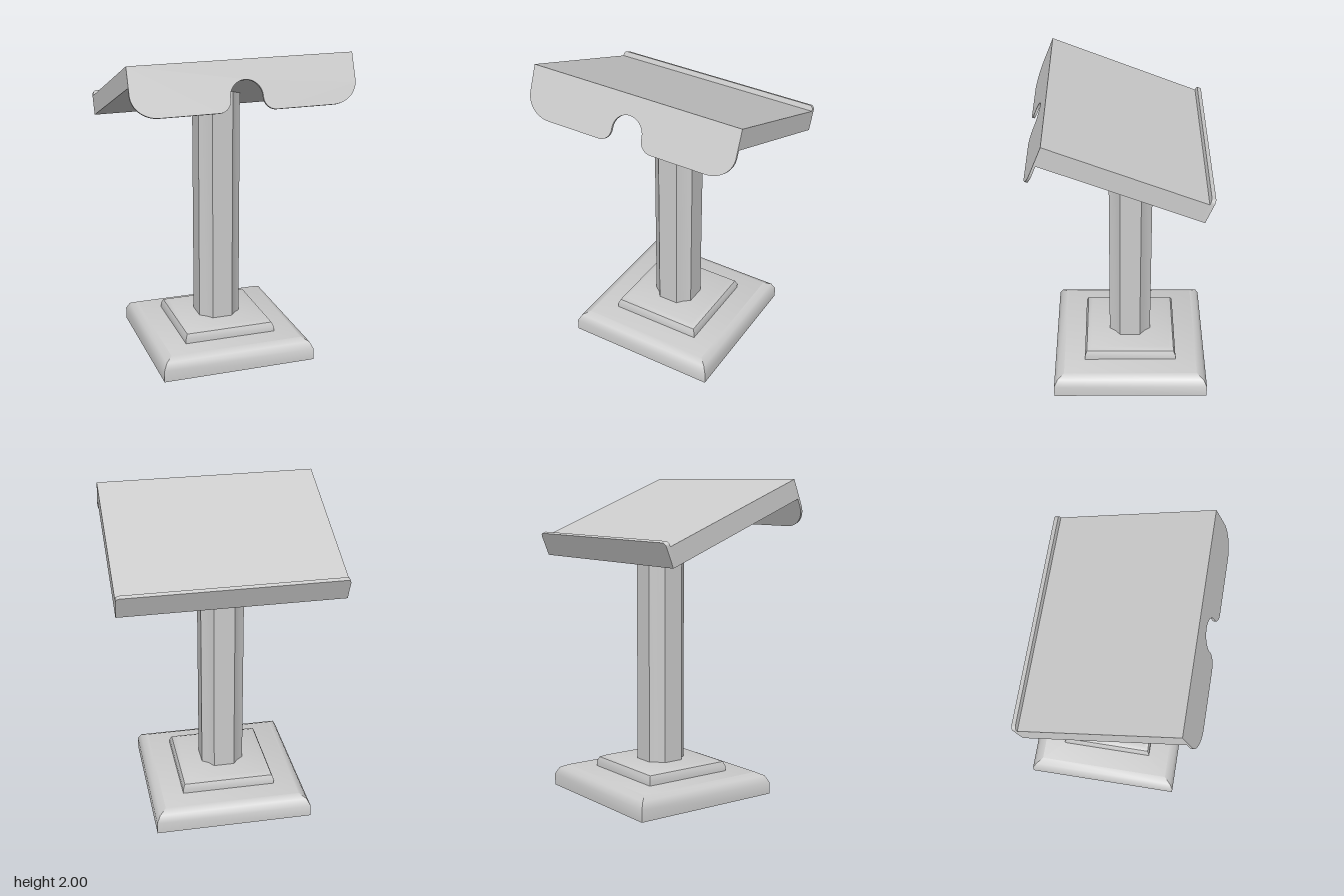
import * as THREE from 'three';
import { toCreasedNormals } from 'three/addons/utils/BufferGeometryUtils.js';

const material = new THREE.MeshStandardMaterial({ color: 0xcccccc });

function part(name, geometry, parent) {
  const mesh = new THREE.Mesh(geometry, material);
  mesh.name = name;
  parent.add(mesh);
  return mesh;
}

// Square slab whose upper edge follows a profile of [half width, height] points
function squareSlab(profile) {
  const top = profile[profile.length - 1][1];
  const points = [[0, profile[0][1]], ...profile, [0, top]]
    .map(([w, y]) => new THREE.Vector2(w * Math.SQRT2, y));
  const geometry = new THREE.LatheGeometry(points, 4).rotateY(Math.PI / 4);
  return toCreasedNormals(geometry.toNonIndexed(), 0.65);
}

// Square column outline with a shallow groove down each corner
function columnShape() {
  const flat = 0.066, out = 0.136, groove = 0.096;
  const points = [];
  for (let i = 0; i < 4; i++) {
    const c = Math.round(Math.cos(i * Math.PI / 2)), s = Math.round(Math.sin(i * Math.PI / 2));
    for (const [x, y] of [[out, -flat], [out, flat], [groove, groove]]) {
      points.push(new THREE.Vector2(x * c - y * s, x * s + y * c));
    }
  }
  return new THREE.Shape(points);
}

// Front apron with rounded lower corners and an arched notch in the middle
function apronShape(w) {
  const low = -0.305, r = 0.14, rx = 0.16, arch = 0.1, fillet = 0.075;
  const s = new THREE.Shape();
  s.moveTo(-w, 0);
  s.lineTo(-w, low + r);
  s.absellipse(-w + rx, low + r, rx, r, Math.PI, Math.PI * 1.5, false);
  s.lineTo(-arch - fillet, low);
  s.absarc(-arch - fillet, low + fillet, fillet, -Math.PI / 2, 0, false);
  s.absarc(0, -0.22, arch, Math.PI, 0, true);
  s.absarc(arch + fillet, low + fillet, fillet, Math.PI, Math.PI * 1.5, false);
  s.lineTo(w - rx, low);
  s.absellipse(w - rx, low + r, rx, r, -Math.PI / 2, 0, false);
  s.lineTo(w, 0);
  return s;
}

// Back rail that rises above the desk as a lip with rounded ends
function railShape(w, bottom, top) {
  const r = 0.025;
  const s = new THREE.Shape();
  s.moveTo(-w, bottom);
  s.lineTo(w, bottom);
  s.lineTo(w, top - r);
  s.absarc(w - r, top - r, r, 0, Math.PI / 2, false);
  s.absarc(-w + r, top - r, r, Math.PI / 2, Math.PI, false);
  return s;
}

function extrude(shape, depth) {
  const geometry = new THREE.ExtrudeGeometry(shape, { depth, bevelEnabled: false, curveSegments: 14 });
  return toCreasedNormals(geometry, 0.4);
}

export function createModel() {
  const model = new THREE.Group();
  model.name = 'lectern';

  // Stepped base and column, set slightly back
  const stand = new THREE.Group();
  stand.name = 'stand';
  stand.position.z = -0.05;
  model.add(stand);
  part('basePlinth', squareSlab([[0.5, 0], [0.5, 0.075], [0.478, 0.118], [0.435, 0.14]]), stand);
  part('upperPlinth', squareSlab([[0.3, 0.13], [0.3, 0.17], [0.287, 0.2], [0.255, 0.215]]), stand);
  const column = part('column', extrude(columnShape(), 1.53).rotateX(-Math.PI / 2), stand);
  column.position.y = 0.205;

  // Sloped desk, with its origin on the top front edge
  const desk = new THREE.Group();
  desk.name = 'desk';
  desk.position.set(0, 2, 0.445);
  desk.rotation.x = THREE.MathUtils.degToRad(-21.8);
  model.add(desk);

  const halfWidth = 0.69, thickness = 0.122, length = 1.025, apronDepth = 0.015, railDepth = 0.026;
  const boardLength = length - apronDepth - railDepth;
  const board = part('deskBoard', new THREE.BoxGeometry(2 * halfWidth, thickness, boardLength), desk);
  board.position.set(0, -thickness / 2, -apronDepth - boardLength / 2);
  part('frontApron', extrude(apronShape(halfWidth), apronDepth), desk).position.z = -apronDepth;
  part('backLip', extrude(railShape(halfWidth, -thickness, 0.033), railDepth), desk).position.z = -length;

  return model;
}
